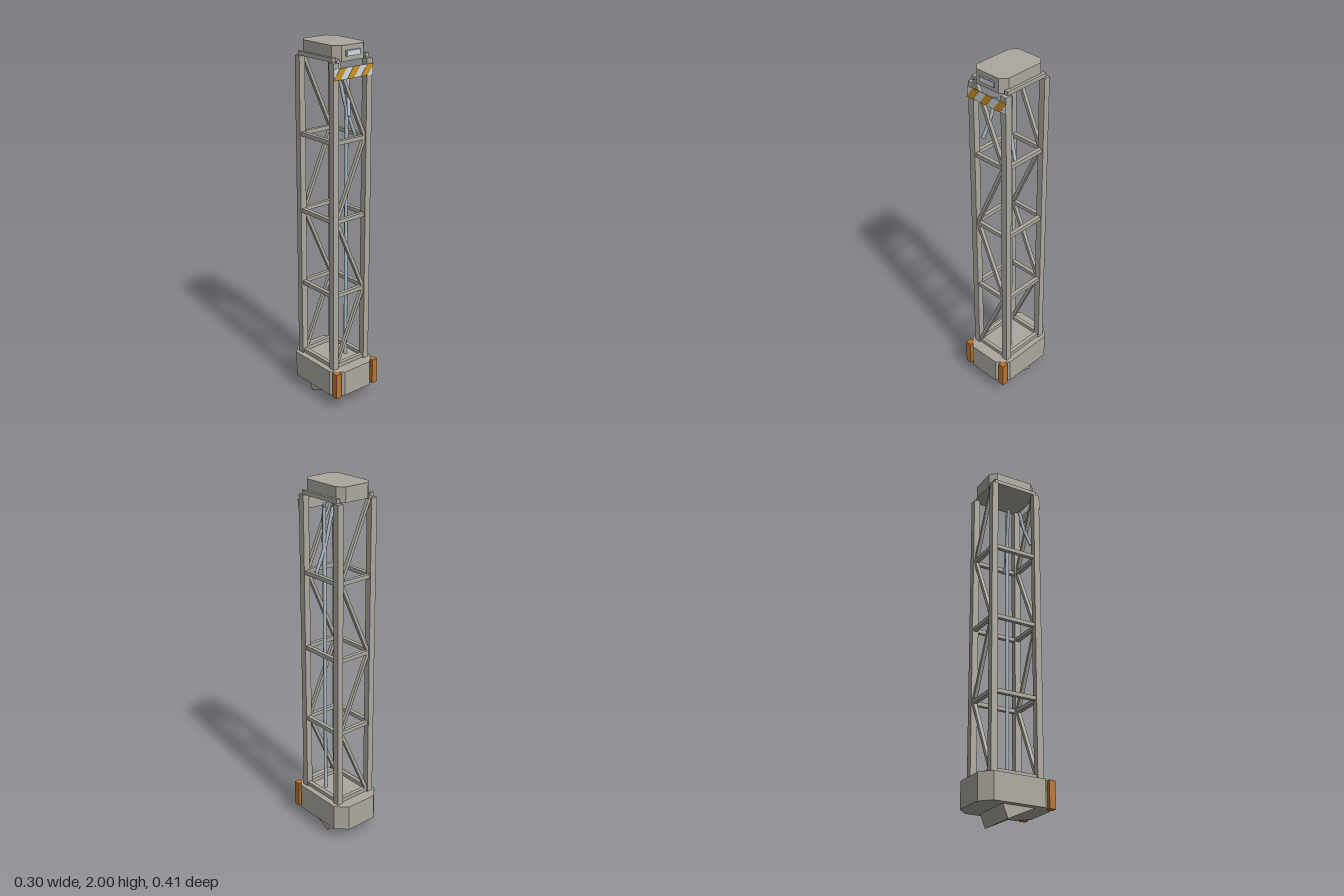
import * as THREE from 'three';

const mat = (name, color) => {
  const m = new THREE.MeshStandardMaterial({ color });
  m.name = name;
  return m;
};

export function createModel() {
  const grey = mat('warmGrey', 0xaca89e);
  const orange = mat('rustOrange', 0xba7430);
  const amber = mat('amber', 0xcb9426);
  const pale = mat('paleBlueGrey', 0xd2d9e2);
  const cableMat = mat('cableBlueGrey', 0xb0bcc8);
  const root = new THREE.Group();
  root.name = 'latticeTower';

  const add = (name, geo, m, x = 0, y = 0, z = 0) => {
    const mesh = new THREE.Mesh(geo, m);
    mesh.name = name;
    mesh.position.set(x, y, z);
    root.add(mesh);
    return mesh;
  };
  const box = (name, w, h, d, x, y, z, m = grey) =>
    add(name, new THREE.BoxGeometry(w, h, d), m, x, y, z);
  const shapeOf = (pts) => new THREE.Shape(pts.map(([x, y]) => new THREE.Vector2(x, y)));

  // Octagonal slab: half width, half depth, and where the corner cuts begin
  const octagon = (name, hx, hz, cx, cz, y0, y1) => {
    const s = shapeOf([[-cx, -hz], [cx, -hz], [hx, -cz], [hx, cz], [cx, hz], [-cx, hz], [-hx, cz], [-hx, -cz]]);
    const g = new THREE.ExtrudeGeometry(s, { depth: y1 - y0, bevelEnabled: false });
    g.rotateX(-Math.PI / 2);
    return add(name, g, grey, 0, y0, 0);
  };
  octagon('base', 0.151, 0.206, 0.092, 0.147, 0.075, 0.222);
  octagon('cap', 0.106, 0.146, 0.073, 0.111, 1.921, 2.0);

  // Wedge beneath the base, profile drawn in the z-y plane
  const wedge = new THREE.ExtrudeGeometry(
    shapeOf([[-0.11, 0.077], [0.05, 0.003], [0.08, 0.077]]), { depth: 0.235, bevelEnabled: false });
  wedge.translate(0, 0, -0.1175);
  wedge.rotateY(Math.PI / 2);
  add('bottomWedge', wedge, grey);

  const levels = [0.236, 0.66, 1.085, 1.51, 1.932];
  const RAIL = 0.022;
  for (const sx of [-1, 1]) {
    box('bumper', 0.036, 0.148, 0.036, sx * 0.133, 0.148, 0.187, orange);
    for (const sz of [-1, 1]) box('post', 0.036, 1.7, 0.036, sx * 0.11, 1.069, sz * 0.134);
    // Side rails
    for (const y of levels) box('sideRail', 0.023, RAIL, 0.266, sx * 0.11, y, 0);
  }

  // Front and back rails with zigzag bracing
  for (const sz of [-1, 1]) {
    for (let i = 0; i < 4; i++) {
      box('crossRail', 0.2, RAIL, RAIL, 0, levels[i], sz * 0.134);
      const dir = i % 2 ? -1 : 1;
      const dx = 0.19 * dir, dy = levels[i + 1] - levels[i];
      const brace = box('brace', 0.018, Math.hypot(dx, dy), 0.02, 0, (levels[i] + levels[i + 1]) / 2, sz * 0.134);
      brace.rotation.z = -Math.atan2(dx, dy);
    }
  }

  // Hazard board: grey backing, pale face, slanted amber stripes
  const W = 0.129, H = 0.029, BY = 1.863, PITCH = 0.09, STRIPE = 0.045, SLANT = 0.043;
  box('hazardBoardBack', 2 * W, 2 * H, 0.003, 0, BY, 0.1535);
  box('hazardBoardFace', 2 * W, 2 * H, 0.002, 0, BY, 0.156, pale);
  for (let i = 0; i < 3; i++) {
    const x = -0.134 + i * PITCH;
    const s = shapeOf([[x, -H], [x + STRIPE, -H], [x + STRIPE + SLANT, H], [x + SLANT, H]]);
    add('hazardStripe', new THREE.ExtrudeGeometry(s, { depth: 0.003, bevelEnabled: false }), amber, 0, BY, 0.1555);
  }

  // Small lamp panel on the cap
  box('lampFrame', 0.094, 0.03, 0.01, 0, 1.96, 0.149, cableMat);
  box('lampPanel', 0.084, 0.022, 0.011, 0, 1.96, 0.15, pale);

  // Vertical conduit and loose hanging cables
  const cable = (name, pts, r) => {
    const curve = new THREE.CatmullRomCurve3(pts.map((p) => new THREE.Vector3(...p)));
    add(name, new THREE.TubeGeometry(curve, 10, r, 8), cableMat);
    for (const t of [0, 1]) {
      const end = add('cableEnd', new THREE.CircleGeometry(r, 8), cableMat);
      end.position.copy(curve.getPoint(t));
      const out = curve.getTangent(t).multiplyScalar(t ? 1 : -1);
      end.quaternion.setFromUnitVectors(new THREE.Vector3(0, 0, 1), out);
    }
  };
  cable('conduit', [[0.053, 0.222, 0.043], [0.053, 1.0, 0.043], [0.053, 1.86, 0.043]], 0.01);
  cable('frontCable', [[0.005, 1.86, 0.1], [-0.006, 1.75, 0.122], [-0.028, 1.642, 0.154]], 0.0095);
  cable('innerCable', [[0.008, 1.86, 0.028], [0.045, 1.68, 0.038], [0.105, 1.49, 0.058]], 0.0095);

  return root;
}
